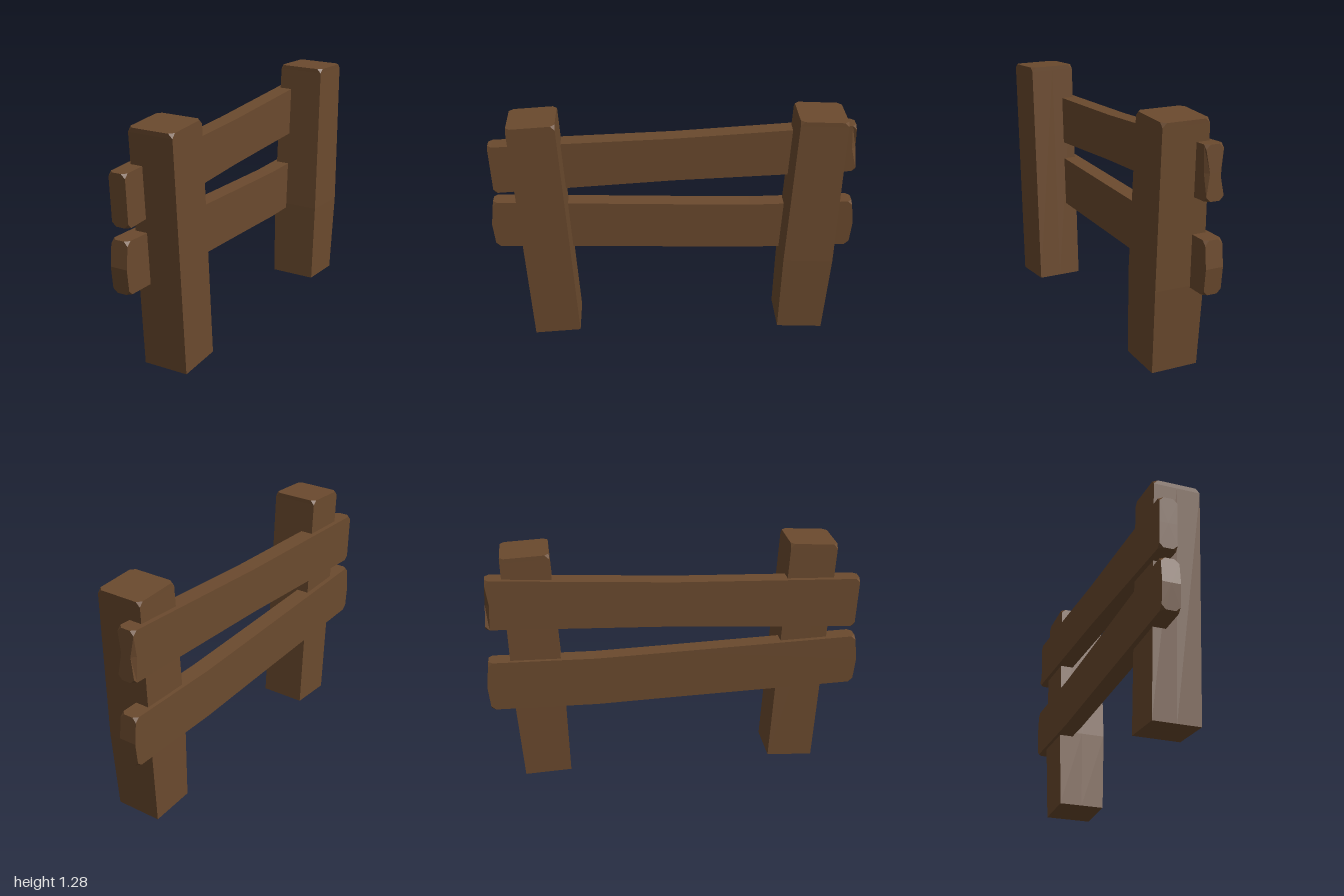
import * as THREE from 'three';

const wood = new THREE.MeshStandardMaterial({ color: 0x6b4a2e, flatShading: true });

// Rectangular section with cut corners (cut) and optionally pinched sides
function section(hu, hv, cut = 0, pinch = 0) {
  return [
    [hu, -hv + cut], [hu - pinch, 0], [hu, hv - cut], [hu - cut, hv], [-hu + cut, hv],
    [-hu, hv - cut], [-hu + pinch, 0], [-hu, -hv + cut], [-hu + cut, -hv], [hu - cut, -hv],
  ];
}

// Skin a list of rings and close both ends
function loft(name, rings) {
  const pos = [];
  const tri = (a, b, c) => {
    const area = b.clone().sub(a).cross(c.clone().sub(a)).length();
    if (area > 1e-8) for (const p of [a, b, c]) pos.push(p.x, p.y, p.z);
  };
  const n = rings[0].length;
  for (let r = 0; r < rings.length - 1; r++) {
    for (let i = 0; i < n; i++) {
      const j = (i + 1) % n, lo = rings[r], hi = rings[r + 1];
      tri(lo[i], lo[j], hi[j]);
      tri(lo[i], hi[j], hi[i]);
    }
  }
  const first = rings[0], last = rings[rings.length - 1];
  const c0 = first[1].clone().lerp(first[6], 0.5);
  const c1 = last[1].clone().lerp(last[6], 0.5);
  for (let i = 0; i < n; i++) {
    const j = (i + 1) % n;
    tri(c0, first[j], first[i]);
    tri(c1, last[i], last[j]);
  }
  const geo = new THREE.BufferGeometry();
  geo.setAttribute('position', new THREE.Float32BufferAttribute(pos, 3));
  geo.computeVertexNormals();
  const mesh = new THREE.Mesh(geo, wood);
  mesh.name = name;
  return mesh;
}

// Upright post: levels are [y, centre z, half z, centre x, half x, corner cut]
function post(name, slope, levels) {
  return loft(name, levels.map(([y, z, hz, x, hx, cut]) =>
    section(hz, hx, cut).map(([u, v]) => new THREE.Vector3(x + v, y + slope * u, z + u))));
}

// Plank along z: stations are [z, bottom y, top y]; both ends have cut corners
function rail(name, { tilt, bulge, backPinch }, stations) {
  const x = -0.0975, hx = 0.0475, cut = 0.022;
  const last = stations.length - 1;
  const rings = [];
  stations.forEach(([z, y0, y1], s) => {
    const end = s === 0 ? -1 : s === last ? 1 : 0;
    const h = (y1 - y0) / 2, yc = (y0 + y1) / 2;
    const ring = (dz, c, pinch, b) => section(hx, h, c, pinch).map(([u, v]) =>
      new THREE.Vector3(x + u, yc + v, z + dz + (end ? tilt * v : 0) + b * (1 - Math.abs(v) / h)));
    const tip = end && ring(0, cut, end < 0 ? backPinch : 0, end * bulge);
    if (end < 0) rings.push(tip);
    rings.push(ring(-end * cut, 0, 0, 0));
    if (end > 0) rings.push(tip);
  });
  return loft(name, rings);
}

export function createModel() {
  const group = new THREE.Group();
  group.name = 'fence';

  // Leaning posts
  group.add(post('frontPost', -0.06, [
    [0.012, 0.66, 0.125, 0.007, 0.125, 0],
    [1.255, 0.734, 0.125, 0.007, 0.125, 0],
    [1.278, 0.735, 0.125, 0.007, 0.125, 0.022],
  ]));
  group.add(post('backPost', 0.05, [
    [0.008, -0.705, 0.125, 0.008, 0.127, 0],
    [0.45, -0.727, 0.135, 0.008, 0.135, 0],
    [1.257, -0.764, 0.125, 0.008, 0.127, 0],
    [1.28, -0.765, 0.125, 0.008, 0.127, 0.022],
  ]));

  // Crooked rails on the outer side of the posts
  group.add(rail('upperRail', { tilt: 0.05, bulge: 0, backPinch: 0.02 }, [
    [-0.978, 0.9, 1.17],
    [0, 0.865, 1.115],
    [0.98, 0.81, 1.083],
  ]));
  group.add(rail('lowerRail', { tilt: 0, bulge: 0.015, backPinch: 0 }, [
    [-0.985, 0.435, 0.71],
    [-0.42, 0.43, 0.703],
    [0, 0.444, 0.716],
    [0.985, 0.473, 0.748],
  ]));
  return group;
}
